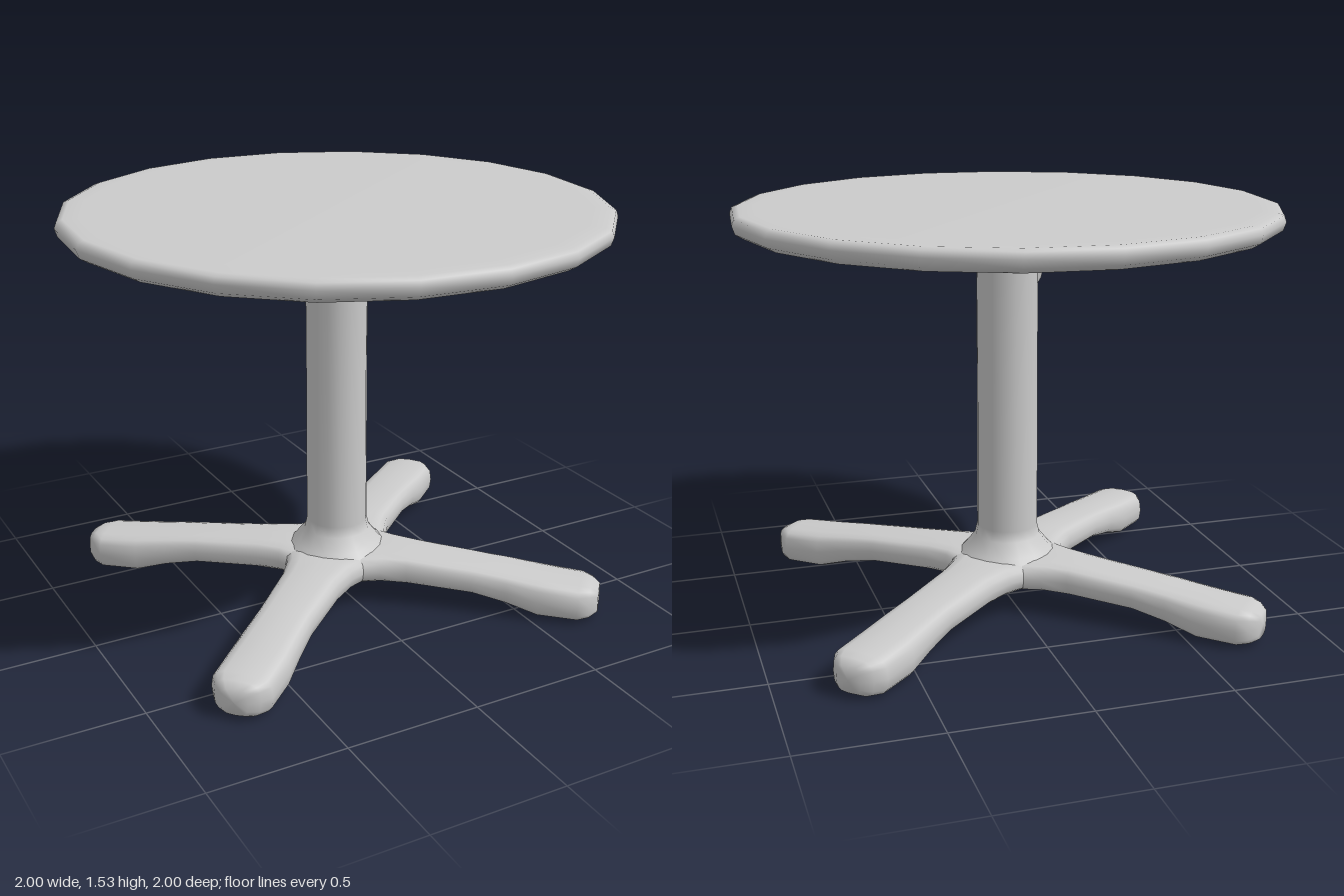
import * as THREE from 'three';

const material = new THREE.MeshStandardMaterial({ color: 0xcccccc, side: THREE.DoubleSide });

function lathe(name, profile, segments, phi) {
  const points = profile.map(([r, y]) => new THREE.Vector2(r, y));
  const mesh = new THREE.Mesh(new THREE.LatheGeometry(points, segments, phi), material);
  mesh.name = name;
  return mesh;
}

// Leg running along +x, lofted through rounded sections: [distance, half width, bottom, top]
function legGeometry() {
  const sections = [
    [0, 0.19, 0.085, 0.2], [0.12, 0.17, 0.085, 0.2], [0.2, 0.135, 0.085, 0.2],
    [0.3, 0.115, 0.08, 0.196], [0.55, 0.106, 0.066, 0.177], [0.68, 0.11, 0.04, 0.166],
    [0.8, 0.115, 0.003, 0.154], [0.95, 0.113, 0, 0.142], [0.99, 0.086, 0.005, 0.136],
    [1.02, 0.05, 0.022, 0.12], [1.022, 0, 0.07, 0.07],
  ];
  const n = 16, positions = [], index = [];
  const soften = (v) => Math.sign(v) * Math.pow(Math.abs(v), 0.6);
  sections.forEach(([d, w, bottom, top], s) => {
    for (let i = 0; i < n; i++) {
      const a = (i / n) * Math.PI * 2;
      const y = (top + bottom) / 2 + soften(Math.sin(a)) * (top - bottom) / 2;
      positions.push(d, y, soften(Math.cos(a)) * w);
      if (s === 0) continue;
      const j = (i + 1) % n, p = (s - 1) * n, q = s * n;
      index.push(p + i, q + i, p + j, p + j, q + i, q + j);
    }
  });
  // Wind the faces outward
  for (let k = 0; k < index.length; k += 3) [index[k + 1], index[k + 2]] = [index[k + 2], index[k + 1]];
  const geometry = new THREE.BufferGeometry();
  geometry.setAttribute('position', new THREE.Float32BufferAttribute(positions, 3));
  geometry.setIndex(index);
  geometry.computeVertexNormals();
  // Flip if the loft came out inside out
  const normal = geometry.attributes.normal;
  if (normal.getY(5 * n + n / 4) < 0) {
    index.reverse();
    geometry.setIndex(index);
    geometry.computeVertexNormals();
  }
  return geometry;
}

export function createModel() {
  const table = new THREE.Group();
  table.name = 'pedestalTable';

  // Round top with a softened rim
  table.add(lathe('tableTop', [
    [0, 1.45], [0.9, 1.45], [0.96, 1.452], [0.99, 1.47], [1.0, 1.5],
    [0.992, 1.522], [0.97, 1.53], [0.9, 1.532], [0, 1.532],
  ], 20, THREE.MathUtils.degToRad(4)));

  // Column flaring into the base and the underside of the top
  table.add(lathe('column', [
    [0.19, 0.185], [0.165, 0.21], [0.125, 0.26], [0.116, 0.3],
    [0.114, 0.9], [0.114, 1.39], [0.125, 1.411], [0.43, 1.453],
  ], 16, 0));

  // Small gusset under the top on one side
  const outline = new THREE.Shape([
    new THREE.Vector2(-0.09, 1.22), new THREE.Vector2(-0.09, 1.43),
    new THREE.Vector2(-0.155, 1.43), new THREE.Vector2(-0.115, 1.26),
  ]);
  const gusset = new THREE.Mesh(
    new THREE.ExtrudeGeometry(outline, { depth: 0.1, bevelEnabled: false }), material);
  gusset.position.z = -0.05;
  gusset.name = 'gusset';
  table.add(gusset);

  // Four splayed legs meeting at the hub
  const legs = new THREE.Group();
  legs.name = 'legs';
  const geometry = legGeometry();
  const splay = Math.atan2(0.67, 0.743);
  for (const angle of [splay, -splay, Math.PI - splay, Math.PI + splay]) {
    const leg = new THREE.Mesh(geometry, material);
    leg.rotation.y = angle;
    leg.name = 'leg';
    legs.add(leg);
  }
  table.add(legs);
  return table;
}
